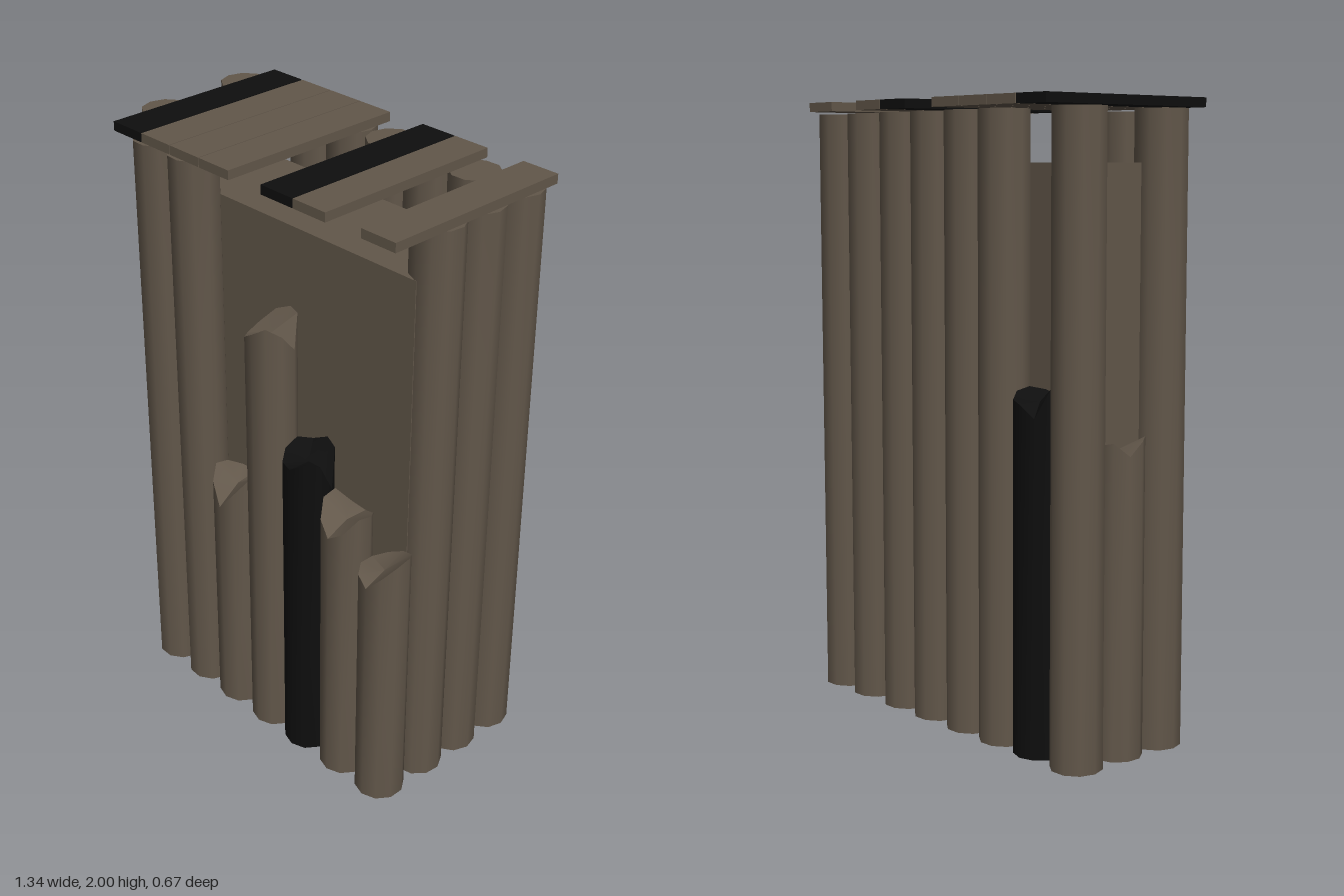
import * as THREE from 'three';
import { toCreasedNormals } from 'three/addons/utils/BufferGeometryUtils.js';

const SIDES = 10;
const RADIUS = 0.081;
const TOP = 1.96;
const BASE = 0.005;

export function createModel() {
  const model = new THREE.Group();
  model.name = 'logStack';

  const brown = new THREE.MeshStandardMaterial({ color: 0x62574a });
  brown.name = 'weathered brown wood';
  const black = new THREE.MeshStandardMaterial({ color: 0x0e0e0e });
  black.name = 'charred black wood';

  function add(name, geometry, material, x, y, z) {
    const mesh = new THREE.Mesh(geometry, material);
    mesh.name = name;
    mesh.position.set(x, y, z);
    model.add(mesh);
    return mesh;
  }

  // Upright log; "rim" lists the height of each corner of a splintered top,
  // starting at the front and going round by way of +x.
  function addLog(name, x, z, rim = null, material = brown) {
    const geometry = new THREE.CylinderGeometry(RADIUS, RADIUS, TOP - BASE, SIDES);
    geometry.translate(0, (TOP + BASE) / 2, 0);
    if (rim) {
      const p = geometry.attributes.position;
      const centre = rim.reduce((a, b) => a + b) / SIDES - 0.02;
      for (let i = 0; i < p.count; i++) {
        if (p.getY(i) < 1) continue;
        const px = p.getX(i), pz = p.getZ(i);
        if (Math.hypot(px, pz) < 0.01) {
          p.setY(i, centre);
        } else {
          const k = Math.round(Math.atan2(px, pz) / (Math.PI * 2 / SIDES));
          p.setY(i, rim[(k + SIDES) % SIDES]);
        }
      }
    }
    const log = add(name, toCreasedNormals(geometry, 0.7), material, x, 0, z);
    // Intact logs are each turned a little differently
    if (!rim) log.rotation.y = Math.sin(x * 37 + z * 91) * 0.3;
  }

  // Solid core behind the logs
  add('core', new THREE.BoxGeometry(1.16, 1.795, 0.33), brown, 0, 0.9025, -0.005);

  // Front row: two whole logs, then five broken ones
  const frontZ = 0.251;
  addLog('frontLog1', -0.418, frontZ);
  addLog('frontLog2', -0.254, frontZ);
  addLog('frontBrokenLog1', -0.09, frontZ,
    [0.8, 0.86, 0.91, 0.9, 0.88, 0.87, 0.88, 0.9, 0.91, 0.87]);
  addLog('frontBrokenLog2', 0.08, frontZ,
    [1.5, 1.53, 1.5, 1.44, 1.54, 1.54, 1.52, 1.48, 1.46, 1.47]);
  addLog('frontCharredLog', 0.244, frontZ,
    [1.1, 1.13, 1.12, 1.02, 1.14, 1.15, 1.13, 1.14, 1.12, 1.1], black);
  addLog('frontBrokenLog3', 0.413, frontZ,
    [0.93, 0.96, 1.01, 1.0, 0.98, 0.96, 0.98, 1.03, 1.02, 0.97]);
  addLog('frontBrokenLog4', 0.577, frontZ,
    [0.83, 0.88, 0.92, 0.93, 0.91, 0.89, 0.87, 0.86, 0.86, 0.85]);

  // Side rows
  addLog('rightLog', -0.585, 0.08);
  addLog('rightBrokenLog', -0.585, -0.087,
    [0.97, 0.95, 0.96, 0.98, 0.99, 0.97, 0.98, 0.94, 0.98, 0.99]);
  for (const z of [0.078, -0.087]) addLog('leftLog', 0.582, z);

  // Back row
  const backZ = -0.254;
  addLog('backCornerLog', -0.595, -0.262);
  addLog('backCharredLog', -0.42, backZ,
    [1.1, 1.12, 1.13, 1.12, 1.1, 1.09, 1.05, 1.14, 1.16, 1.12], black);
  for (const x of [-0.254, -0.09, 0.08, 0.244, 0.42, 0.582]) addLog('backLog', x, backZ);

  // Roof planks with gaps, two of them charred
  const planks = [
    [-0.465, black], [-0.332, brown], [-0.2, brown], [-0.068, brown],
    [0.199, black], [0.331, brown], [0.597, brown],
  ];
  const plankGeometry = new THREE.BoxGeometry(0.129, 0.03, 0.664);
  for (const [x, material] of planks) {
    add('roofPlank', plankGeometry, material, x, 1.985, 0);
  }
  return model;
}
